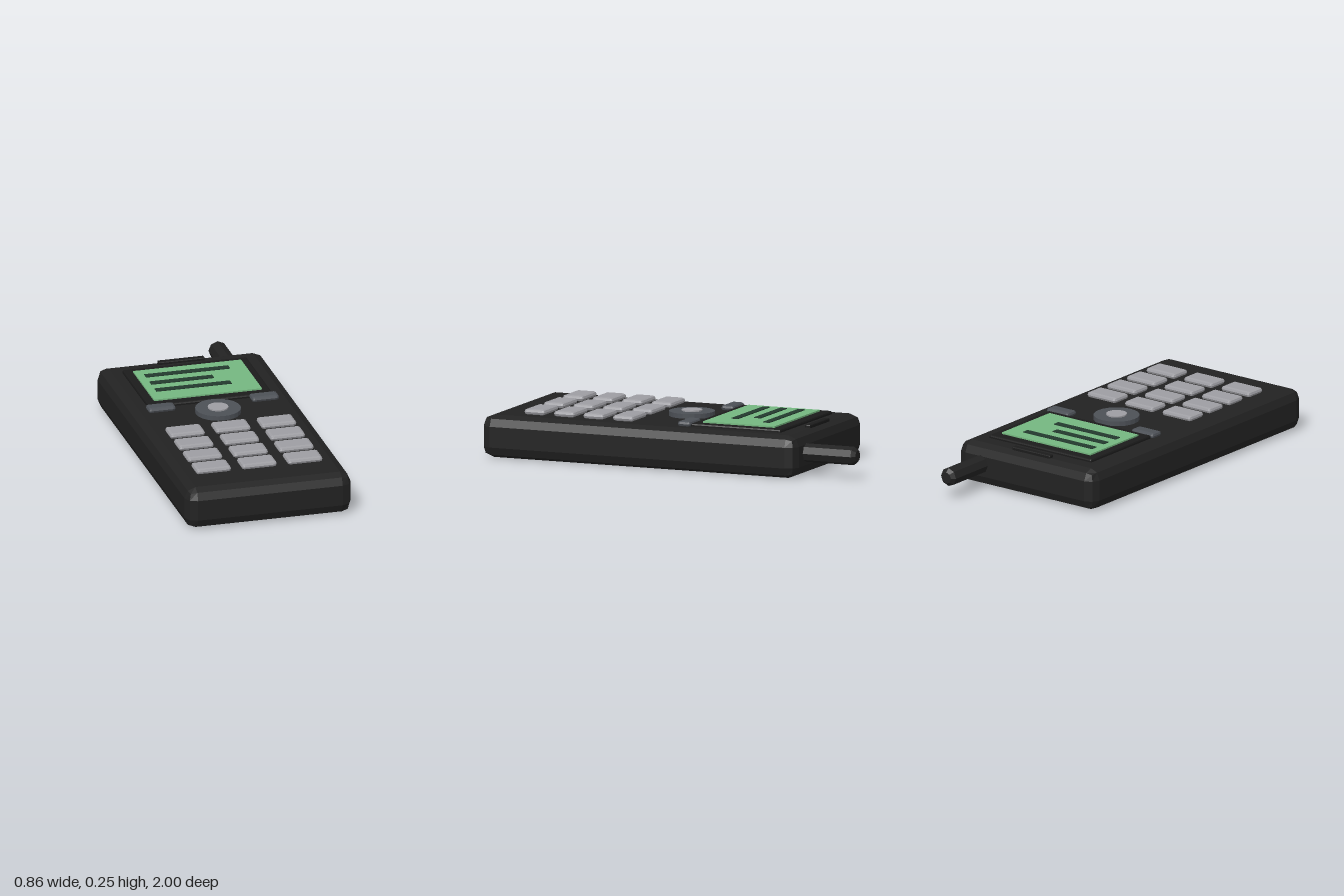
import * as THREE from 'three';

const material = (name, color) => {
  const m = new THREE.MeshStandardMaterial({ color, flatShading: true });
  m.name = name;
  return m;
};

// Box with every edge rounded by two facets of radius r
function bevelBox(w, h, d, r) {
  const geo = new THREE.BoxGeometry(1, 1, 1, 3, 3, 3);
  const p = geo.attributes.position;
  const half = new THREE.Vector3(w / 2 - r, h / 2 - r, d / 2 - r);
  const v = new THREE.Vector3();
  for (let i = 0; i < p.count; i++) {
    v.fromBufferAttribute(p, i);
    const sign = v.toArray().map(Math.sign);
    // Outer grid lines point outward, inner ones stay on the flat face
    const dir = new THREE.Vector3(...v.toArray().map((c, k) => (Math.abs(c) > 0.4 ? sign[k] : 0)));
    dir.normalize().multiplyScalar(r);
    p.setXYZ(i, sign[0] * half.x + dir.x, sign[1] * half.y + dir.y, sign[2] * half.z + dir.z);
  }
  geo.computeVertexNormals();
  return geo;
}

export function createModel() {
  const model = new THREE.Group();
  model.name = 'mobilePhone';

  const black = material('caseBlack', 0x222222);
  const trim = material('trimBlack', 0x1b1b1b);
  const slate = material('slateGrey', 0x4c5056);
  const silver = material('keyGrey', 0x9d9da2);
  const green = material('screenGreen', 0x75b780);
  const ink = material('screenInk', 0x23392d);

  const add = (name, geo, mat, x, y, z, parent = model) => {
    const mesh = new THREE.Mesh(geo, mat);
    mesh.name = name;
    mesh.position.set(x, y, z);
    parent.add(mesh);
    return mesh;
  };

  // Case
  add('case', bevelBox(0.86, 0.215, 1.72, 0.055), black, 0, 0.1075, 0.14);

  // Antenna: eight-sided rod with a bevelled tip
  const rod = [[0, 0], [0.047, 0], [0.047, 0.315], [0.03, 0.335], [0, 0.335]]
    .map(([x, y]) => new THREE.Vector2(x, y));
  const antenna = add('antenna', new THREE.LatheGeometry(rod, 8), black, 0.28, 0.118, -0.665);
  antenna.rotation.x = -Math.PI / 2;

  // Screen with its surround and text bars
  add('screenSurround', bevelBox(0.645, 0.03, 0.49, 0.008), trim, 0, 0.216, -0.35);
  add('screen', new THREE.BoxGeometry(0.56, 0.009, 0.39), green, 0, 0.2345, -0.35);
  [[0.435, -0.4625], [0.325, -0.365], [0.39, -0.27]].forEach(([w, z], i) =>
    add(`textBar${i + 1}`, new THREE.BoxGeometry(w, 0.004, 0.037), ink, -0.24 + w / 2, 0.241, z));

  // Earpiece slot
  add('earpiece', bevelBox(0.24, 0.026, 0.03, 0.005), trim, 0, 0.217, -0.655);

  // Navigation ring and its centre button
  add('navigationRing', new THREE.CylinderGeometry(0.115, 0.115, 0.036, 24), slate, 0, 0.221, 0.03);
  add('selectButton', new THREE.CylinderGeometry(0.052, 0.052, 0.04, 16), silver, 0, 0.226, 0.03);

  // Soft keys either side of the ring
  for (const side of [-1, 1]) {
    add(side > 0 ? 'leftSoftKey' : 'rightSoftKey',
      bevelBox(0.142, 0.028, 0.072, 0.0139), slate, side * 0.268, 0.227, -0.074);
  }

  // Keypad
  const keypad = new THREE.Group();
  keypad.name = 'keypad';
  model.add(keypad);
  const keyGeo = bevelBox(0.182, 0.029, 0.114, 0.0144);
  for (let row = 0; row < 4; row++) {
    for (let col = 0; col < 3; col++) {
      add(`key${row * 3 + col + 1}`, keyGeo, silver, (col - 1) * 0.237, 0.2305, 0.265 + row * 0.161, keypad);
    }
  }

  return model;
}
